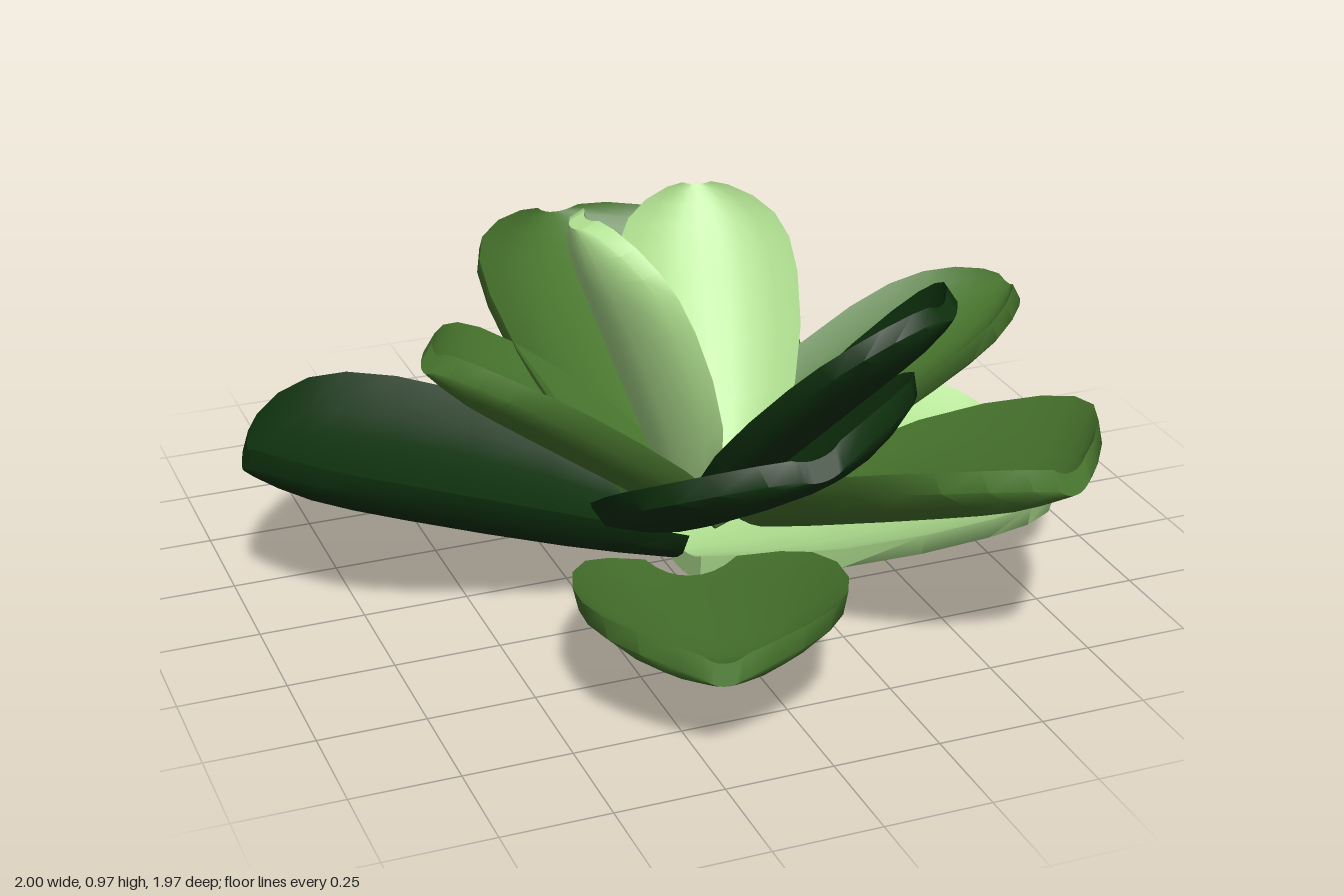
import * as THREE from 'three';
import { toCreasedNormals } from 'three/addons/utils/BufferGeometryUtils.js';

const DARK = new THREE.MeshStandardMaterial({ color: 0x0e300e });
const MID = new THREE.MeshStandardMaterial({ color: 0x4a782f });
const LIGHT = new THREE.MeshStandardMaterial({ color: 0xb0e090 });

// Leaf outline: [distance along the leaf, half-width], both 0..1
const OUTLINE = [[0, 0.36], [0.14, 0.66], [0.28, 0.86], [0.47, 0.98], [0.65, 1],
  [0.77, 0.95], [0.86, 0.82], [0.93, 0.6], [0.98, 0.34], [1, 0.16]];
const ACROSS = 8;

// A cupped leaf lying along +x, with its upper face towards +y
function leafGeometry(length, width, cup, thickness) {
  const pos = [], index = [];
  const ring = 2 * (ACROSS + 1);
  for (const [u, w] of OUTLINE) {
    const lip = 0.02 * Math.max(0, (u - 0.8) / 0.2) ** 2;
    for (let k = 0; k < ring; k++) {
      const top = k <= ACROSS;
      const j = top ? k : ring - 1 - k;
      const s = 2 * j / ACROSS - 1;
      // sides curl up, the tip ends in a small lip
      const y = cup * width * Math.abs(s) ** 2.2 * w + lip;
      pos.push(u * length, y + (top ? 0.5 : -0.5) * thickness, s * w * width / 2 * (top ? 1 : 0.96));
    }
  }
  // skin between neighbouring sections
  for (let i = 0; i < OUTLINE.length - 1; i++) {
    for (let k = 0; k < ring; k++) {
      const a = i * ring + k, c = i * ring + (k + 1) % ring;
      index.push(a, c, a + ring, a + ring, c, c + ring);
    }
  }
  // base and tip caps
  const last = (OUTLINE.length - 1) * ring;
  for (let j = 0; j < ACROSS; j++) {
    const a = j, b = j + 1, c = ring - 2 - j, d = ring - 1 - j;
    index.push(last + a, last + b, last + c, last + a, last + c, last + d);
    index.push(a, c, b, a, d, c);
  }
  const g = new THREE.BufferGeometry();
  g.setAttribute('position', new THREE.Float32BufferAttribute(pos, 3));
  g.setIndex(index);
  return toCreasedNormals(g, 0.8);
}

// Places a leaf from its base point to its tip point
function leaf({ name, base, tip, width, mat, roll = 0, cup = 0.2, thickness = 0.05 }) {
  const from = new THREE.Vector3(...base);
  const x = new THREE.Vector3(...tip).sub(from);
  const length = x.length();
  x.normalize();
  const z = new THREE.Vector3().crossVectors(x, new THREE.Vector3(0, 1, 0)).normalize();
  const y = new THREE.Vector3().crossVectors(z, x);
  const mesh = new THREE.Mesh(leafGeometry(length, width, cup, thickness), mat);
  mesh.quaternion.setFromRotationMatrix(new THREE.Matrix4().makeBasis(x, y, z));
  mesh.rotateX(roll);
  mesh.position.copy(from);
  mesh.name = name;
  return mesh;
}

const LEAVES = [
  // lowest, outer leaves
  { name: 'outerLeafLeft', base: [0.02, 0.03, 0.03], tip: [1, 0.07, -0.02], width: 0.81, mat: LIGHT, roll: 0.06, cup: 0.15, thickness: 0.06 },
  { name: 'outerLeafRight', base: [0, 0.07, 0.04], tip: [-0.99, 0.38, -0.11], width: 0.63, mat: DARK, cup: 0.22 },
  { name: 'outerLeafBack', base: [0.17, 0.14, 0.05], tip: [0.27, 0.395, -0.98], width: 0.6, mat: MID },
  { name: 'outerLeafFrontRight', base: [-0.02, 0.05, 0.23], tip: [-0.24, 0.235, 0.97], width: 0.6, mat: MID },
  { name: 'outerLeafFrontLeft', base: [0.24, 0.14, 0.12], tip: [0.56, 0.54, 0.98], width: 0.63, mat: MID },
  // middle leaves
  { name: 'middleLeafBack', base: [0.03, 0.15, 0.06], tip: [-0.06, 0.65, -0.65], width: 0.74, mat: MID, roll: 0.15 },
  { name: 'middleLeafLeft', base: [0.07, 0.15, 0.09], tip: [0.88, 0.59, 0.08], width: 0.43, mat: MID },
  { name: 'middleLeafRight', base: [0.05, 0.16, 0.08], tip: [-0.62, 0.66, 0.13], width: 0.47, mat: MID },
  { name: 'middleLeafFront', base: [0.07, 0.16, 0.1], tip: [0.06, 0.58, 0.8], width: 0.76, mat: DARK, roll: 0.22, cup: 0.15 },
  // upright inner leaves
  { name: 'innerLeafFrontLeft', base: [0.11, 0.21, 0.13], tip: [0.46, 0.79, 0.57], width: 0.52, mat: DARK, cup: 0.16, thickness: 0.04 },
  { name: 'innerLeafBackLeft', base: [0.13, 0.2, 0.04], tip: [0.27, 0.75, -0.48], width: 0.44, mat: LIGHT, thickness: 0.04 },
  { name: 'innerLeafRight', base: [0, 0.24, 0.1], tip: [-0.27, 0.95, 0.13], width: 0.44, mat: LIGHT, thickness: 0.04 },
];

export function createModel() {
  const model = new THREE.Group();
  model.name = 'succulentRosette';
  for (const spec of LEAVES) model.add(leaf(spec));
  return model;
}
